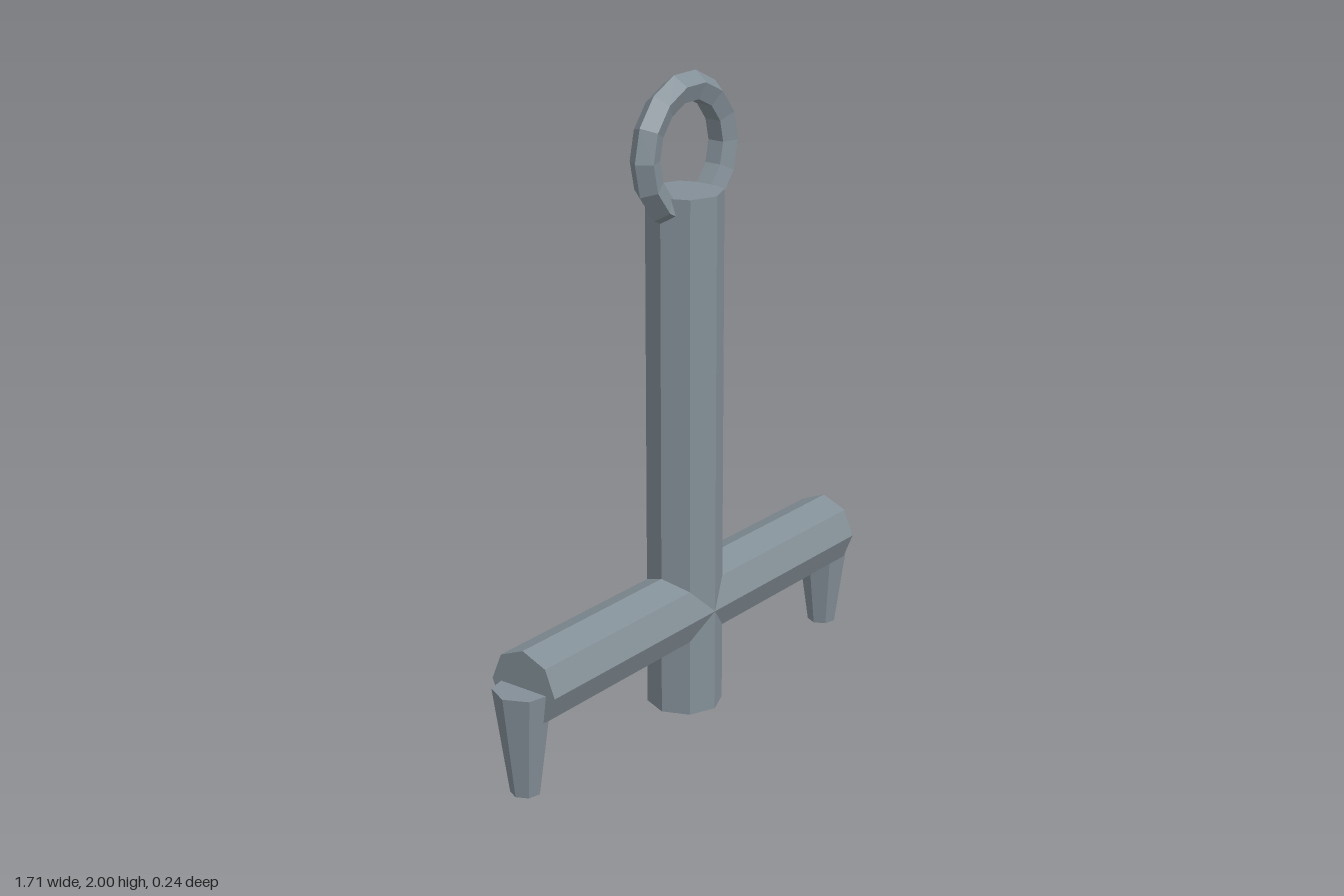
import * as THREE from 'three';

export function createModel() {
  const group = new THREE.Group();
  const material = new THREE.MeshStandardMaterial({ color: 0x838f97, flatShading: true });
  const centreX = 0.004;

  const add = (name, geometry, x, y) => {
    const mesh = new THREE.Mesh(geometry, material);
    mesh.name = name;
    mesh.position.set(centreX + x, y, 0);
    group.add(mesh);
    return mesh;
  };

  // Upright octagonal shaft
  const r = 0.118, shaftHeight = 1.65;
  add('shaft', new THREE.CylinderGeometry(r, r, shaftHeight, 8), 0, shaftHeight / 2);

  // Horizontal octagonal crossbar
  const barY = 0.332, halfBar = 0.766;
  add('crossbar', new THREE.CylinderGeometry(r, r, halfBar * 2, 8), 0, barY).rotation.z = Math.PI / 2;

  // Tapered seven-sided prongs hanging from the bar ends
  for (const [name, side] of [['leftProng', 1], ['rightProng', -1]]) {
    const prong = new THREE.CylinderGeometry(0.092, 0.046, barY, 7, 1, false, -Math.PI / 2);
    add(name, prong, side * halfBar, barY / 2);
  }

  // Faceted ring sunk into the top of the shaft
  add('ring', new THREE.TorusGeometry(0.189, 0.046, 5, 14), 0, 1.771);

  return group;
}
